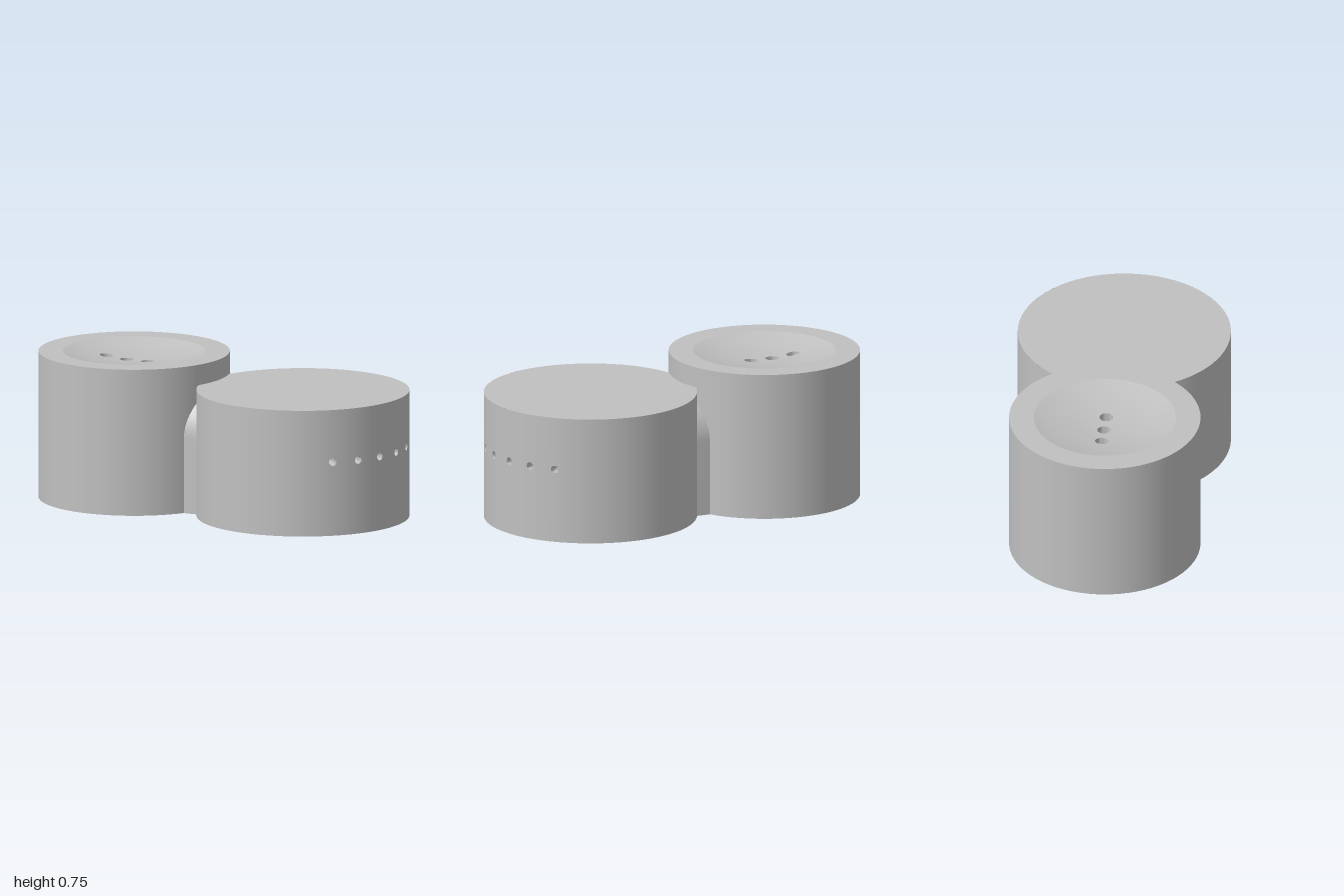
import * as THREE from 'three';
import { toCreasedNormals } from 'three/addons/utils/BufferGeometryUtils.js';

const SEG = 72;
const TALL = { x: -0.515, r: 0.485, h: 0.755 };
const WIDE = { x: 0.46, r: 0.54, h: 0.65 };
const DISH = { r: 0.36, inner: 0.22, depth: 0.05 };

// Height of the shallow dish below the rim, by distance from its centre
const dishY = (d) => -DISH.depth * (1 - (d / DISH.r) ** 2);

function circlePath(x, y, r) {
  return new THREE.Path().absarc(x, y, r, 0, Math.PI * 2, true);
}

// Blind round hole opening at y = 0 and going down
function pitGeometry(r, depth) {
  const profile = [[0, -depth], [r, -depth], [r, 0]].map((p) => new THREE.Vector2(...p));
  return toCreasedNormals(new THREE.LatheGeometry(profile, 24), 0.7);
}

export function createModel() {
  const grey = new THREE.MeshStandardMaterial({ color: 0xc0c0c0, side: THREE.DoubleSide });
  grey.name = 'grey';
  const model = new THREE.Group();
  model.name = 'twinCylinders';

  const group = (name, x) => {
    const g = new THREE.Group();
    g.name = name;
    g.position.x = x;
    model.add(g);
    return g;
  };
  const add = (parent, name, geometry, y = 0) => {
    const m = new THREE.Mesh(geometry, grey);
    m.name = name;
    m.position.y = y;
    parent.add(m);
    return m;
  };

  // Tall cylinder
  const tall = group('tallCylinder', TALL.x);
  add(tall, 'tallWall', new THREE.CylinderGeometry(TALL.r, TALL.r, TALL.h, SEG, 1, true), TALL.h / 2);
  add(tall, 'tallRim', new THREE.RingGeometry(DISH.r, TALL.r, SEG).rotateX(-Math.PI / 2), TALL.h);

  // Outer band of the dish
  const band = [];
  for (let i = 0; i <= 6; i++) {
    const d = DISH.r + (DISH.inner - DISH.r) * (i / 6);
    band.push(new THREE.Vector2(d, dishY(d)));
  }
  add(tall, 'dishBand', new THREE.LatheGeometry(band, SEG), TALL.h);

  // Middle of the dish with three holes, bent to the same curve
  const holeXs = [-0.16, -0.043, 0.075];
  const holeR = 0.034;
  const middle = new THREE.Shape().absarc(0, 0, DISH.inner, 0, Math.PI * 2, false);
  holeXs.forEach((x) => middle.holes.push(circlePath(x, 0, holeR)));
  const dish = new THREE.ShapeGeometry(middle, SEG).rotateX(-Math.PI / 2);
  const dp = dish.attributes.position;
  const n = new THREE.Vector3();
  for (let i = 0; i < dp.count; i++) {
    const x = dp.getX(i), z = dp.getZ(i);
    dp.setY(i, dishY(Math.hypot(x, z)));
    const k = (2 * DISH.depth) / DISH.r ** 2;
    n.set(-k * x, 1, -k * z).normalize();
    dish.attributes.normal.setXYZ(i, n.x, n.y, n.z);
  }
  add(tall, 'dishMiddle', dish, TALL.h);
  holeXs.forEach((x) => {
    const pit = pitGeometry(holeR, 0.12);
    const p = pit.attributes.position;
    for (let i = 0; i < p.count; i++) {
      const top = p.getY(i) > -0.01;
      if (top) p.setY(i, dishY(Math.hypot(p.getX(i) + x, p.getZ(i))));
    }
    add(tall, 'dishHole', pit.translate(x, 0, 0), TALL.h);
  });

  // Underside with a chamfered bore
  add(tall, 'tallBase', new THREE.RingGeometry(0.142, TALL.r, SEG).rotateX(Math.PI / 2));
  const bore = [[0.142, 0], [0.125, 0.025], [0.125, 0.3], [0, 0.3]].map((p) => new THREE.Vector2(...p));
  add(tall, 'baseBore', toCreasedNormals(new THREE.LatheGeometry(bore, 48), 0.4));

  // Wide cylinder: caps
  const wide = group('wideCylinder', WIDE.x);
  add(wide, 'wideTop', new THREE.CircleGeometry(WIDE.r, SEG).rotateX(-Math.PI / 2), WIDE.h);
  add(wide, 'wideBase', new THREE.CircleGeometry(WIDE.r, SEG).rotateX(Math.PI / 2));

  // Wide cylinder: wall of plain panels and narrow panels with a hole
  const rad = THREE.MathUtils.degToRad;
  const half = rad(3);
  const wall = (from, to, segments) => add(wide, 'widePlainWall', new THREE.CylinderGeometry(
    WIDE.r, WIDE.r, WIDE.h, segments, 1, true, Math.PI / 2 + from, to - from), WIDE.h / 2);
  wall(rad(48), rad(312), 56);

  const ventY = 0.38, ventR = 0.0195;
  for (let i = -3; i <= 3; i++) {
    const angle = rad(15 * i);
    if (i < 3) wall(angle + half, angle + rad(15) - half, 3);

    const w = half * WIDE.r;
    const panel = new THREE.Shape([[-w, 0], [w, 0], [w, WIDE.h], [-w, WIDE.h]]
      .map((p) => new THREE.Vector2(...p)));
    panel.holes.push(circlePath(0, ventY, ventR));
    const g = new THREE.ShapeGeometry(panel, 24);
    const p = g.attributes.position;
    for (let j = 0; j < p.count; j++) {
      const a = p.getX(j) / WIDE.r;
      p.setXYZ(j, WIDE.r * Math.cos(a), p.getY(j), -WIDE.r * Math.sin(a));
      g.attributes.normal.setXYZ(j, Math.cos(a), 0, -Math.sin(a));
    }
    add(wide, 'ventPanel', g).rotation.y = angle;

    const vent = pitGeometry(ventR, 0.22).rotateZ(-Math.PI / 2).translate(WIDE.r, 0, 0);
    add(wide, 'ventHole', vent, ventY).rotation.y = angle;
  }

  // Arched bridge joining the cylinders
  const bw = 0.242, spring = 0.385;
  const arch = new THREE.Shape();
  arch.moveTo(-bw, 0);
  arch.lineTo(bw, 0);
  arch.lineTo(bw, spring);
  arch.absarc(0, spring, bw, 0, Math.PI, false);
  arch.closePath();
  const bridge = new THREE.ExtrudeGeometry(arch, { depth: 0.26, bevelEnabled: false, curveSegments: 32 });
  bridge.rotateY(Math.PI / 2).translate(-0.19, 0, 0);
  add(model, 'bridge', toCreasedNormals(bridge, 0.5));

  return model;
}
